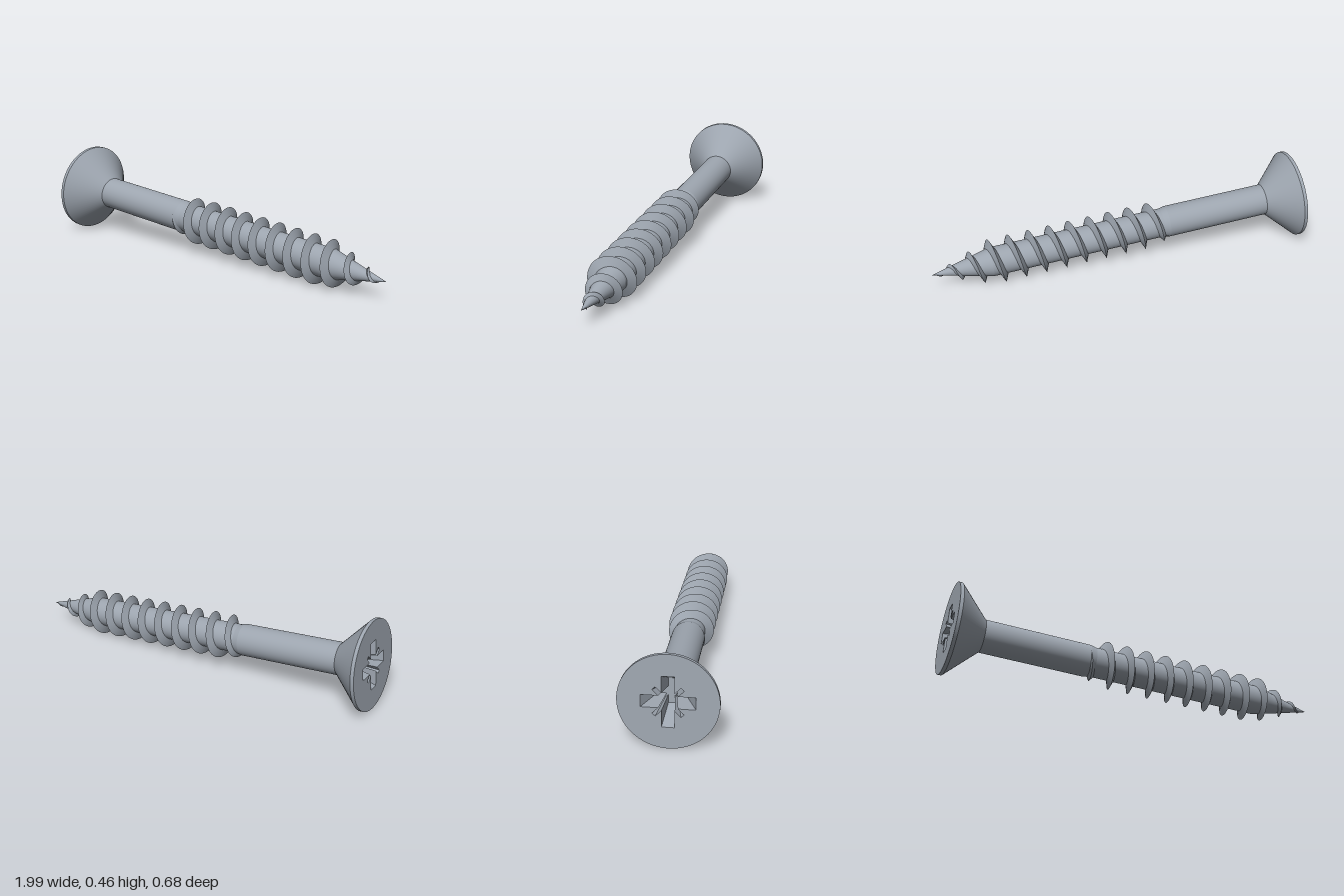
import * as THREE from 'three';

const LENGTH = 1.99, HEAD_R = 0.232, SHANK_R = 0.083, CORE_R = 0.076, CREST_R = 0.119;
const THREAD_START = 0.7, TAPER = 1.68, PITCH = 0.1085, CREST_TOP = 0.8;

const steel = new THREE.MeshStandardMaterial({ color: 0x9da5af });
steel.name = 'steel';

function add(group, name, geometry) {
  const mesh = new THREE.Mesh(geometry, steel);
  mesh.name = name;
  group.add(mesh);
}

// Surface of revolution round the screw's axis (+x); points are [x, radius]
function turned(points) {
  const profile = points.map(([x, r]) => new THREE.Vector2(r, x));
  return new THREE.LatheGeometry(profile, 72).rotateZ(-Math.PI / 2);
}

// Radii of the core and the thread crest along the axis
const taper = (s) => Math.min(1, Math.max(0, (LENGTH - s) / (LENGTH - TAPER)));
const coreRadius = (s) => CORE_R * taper(s);
function crestRadius(s) {
  const ramp = Math.min(1, (s - THREAD_START) / 0.11);
  return (SHANK_R - 0.004 + (CREST_R - SHANK_R + 0.004) * ramp) * taper(s);
}

// One helical flank between two rails, each rail giving [x, radius] at s
function flank(railA, railB) {
  const positions = [], index = [];
  const end = LENGTH - 0.02, steps = 620;
  for (let i = 0; i <= steps; i++) {
    const s = THREAD_START + (end - THREAD_START) * i / steps;
    const angle = (s - CREST_TOP) / PITCH * Math.PI * 2;
    for (const [x, r] of [railA(s), railB(s)]) {
      positions.push(x, r * Math.cos(angle), r * Math.sin(angle));
    }
    if (i < steps) {
      const a = i * 2;
      index.push(a, a + 2, a + 1, a + 1, a + 2, a + 3);
    }
  }
  const geometry = new THREE.BufferGeometry();
  geometry.setAttribute('position', new THREE.Float32BufferAttribute(positions, 3));
  geometry.setIndex(index);
  geometry.computeVertexNormals();
  return geometry;
}

// Cross outline with a narrow slit in each inner corner
function crossOutline(scale) {
  const R = 0.125, w = 0.03, e = 0.014, t = 0.072;
  const quarter = [[R, -w], [R, w], [w + e, w], [t, t - e], [t - e, t], [w, w + e]];
  const points = [];
  for (let k = 0; k < 4; k++) {
    for (const [x, y] of quarter) {
      points.push(new THREE.Vector2(x, y)
        .rotateAround(new THREE.Vector2(), k * Math.PI / 2).multiplyScalar(scale));
    }
  }
  // the last corner of each quarter meets the next arm's lower edge
  return points;
}

// Tapered side walls of the driver recess
function recessWalls(top, bottom, depth) {
  const positions = [];
  top.forEach((p, i) => {
    const j = (i + 1) % top.length;
    const n = top[j], q = bottom[i], m = bottom[j];
    positions.push(p.x, p.y, 0, n.x, n.y, 0, q.x, q.y, -depth);
    positions.push(n.x, n.y, 0, m.x, m.y, -depth, q.x, q.y, -depth);
  });
  const geometry = new THREE.BufferGeometry();
  geometry.setAttribute('position', new THREE.Float32BufferAttribute(positions, 3));
  geometry.computeVertexNormals();
  return geometry;
}

export function createModel() {
  const model = new THREE.Group();
  model.name = 'woodScrew';
  const screw = new THREE.Group();
  screw.name = 'screw';
  model.add(screw);

  // Countersunk head
  add(screw, 'headRim', turned([[0, HEAD_R], [0.018, HEAD_R]]));
  add(screw, 'headCone', turned([[0.018, HEAD_R], [0.17, SHANK_R]]));

  // Flat head face with the driver recess
  const depth = 0.12;
  const top = crossOutline(1), bottom = crossOutline(0.5);
  const disc = new THREE.Shape().absarc(0, 0, HEAD_R, 0, Math.PI * 2, false);
  disc.holes.push(new THREE.Path(top));
  add(screw, 'headFace', new THREE.ShapeGeometry(disc, 36).rotateY(-Math.PI / 2));
  add(screw, 'recessWalls', recessWalls(top, bottom, depth).rotateY(-Math.PI / 2));
  add(screw, 'recessFloor', new THREE.ShapeGeometry(new THREE.Shape(bottom))
    .translate(0, 0, -depth).rotateY(-Math.PI / 2));

  // Smooth shank, threaded core and point
  add(screw, 'shank', turned([[0.17, SHANK_R], [0.72, SHANK_R]]));
  add(screw, 'shankShoulder', turned([[0.72, SHANK_R], [0.75, CORE_R]]));
  add(screw, 'core', turned([[0.75, CORE_R], [TAPER, CORE_R]]));
  add(screw, 'point', turned([[TAPER, CORE_R], [LENGTH, 0.0005]]));

  // Right-handed thread that tapers out along the point
  const halfWidth = (s) => 0.006 + 0.014 * taper(s);
  const root = (s) => coreRadius(s) * 0.95;
  const crest = (s) => [s, crestRadius(s)];
  add(screw, 'threadBackFlank', flank((s) => [s - halfWidth(s), root(s)], crest));
  add(screw, 'threadFrontFlank', flank(crest, (s) => [s + halfWidth(s), root(s)]));

  // Lay the screw at its resting tilt
  const head = new THREE.Vector3(-0.95, 0.232, -0.12);
  const tip = new THREE.Vector3(0.995, 0.097, 0.286);
  screw.position.copy(head);
  screw.quaternion.setFromUnitVectors(new THREE.Vector3(1, 0, 0), tip.sub(head).normalize());
  return model;
}
